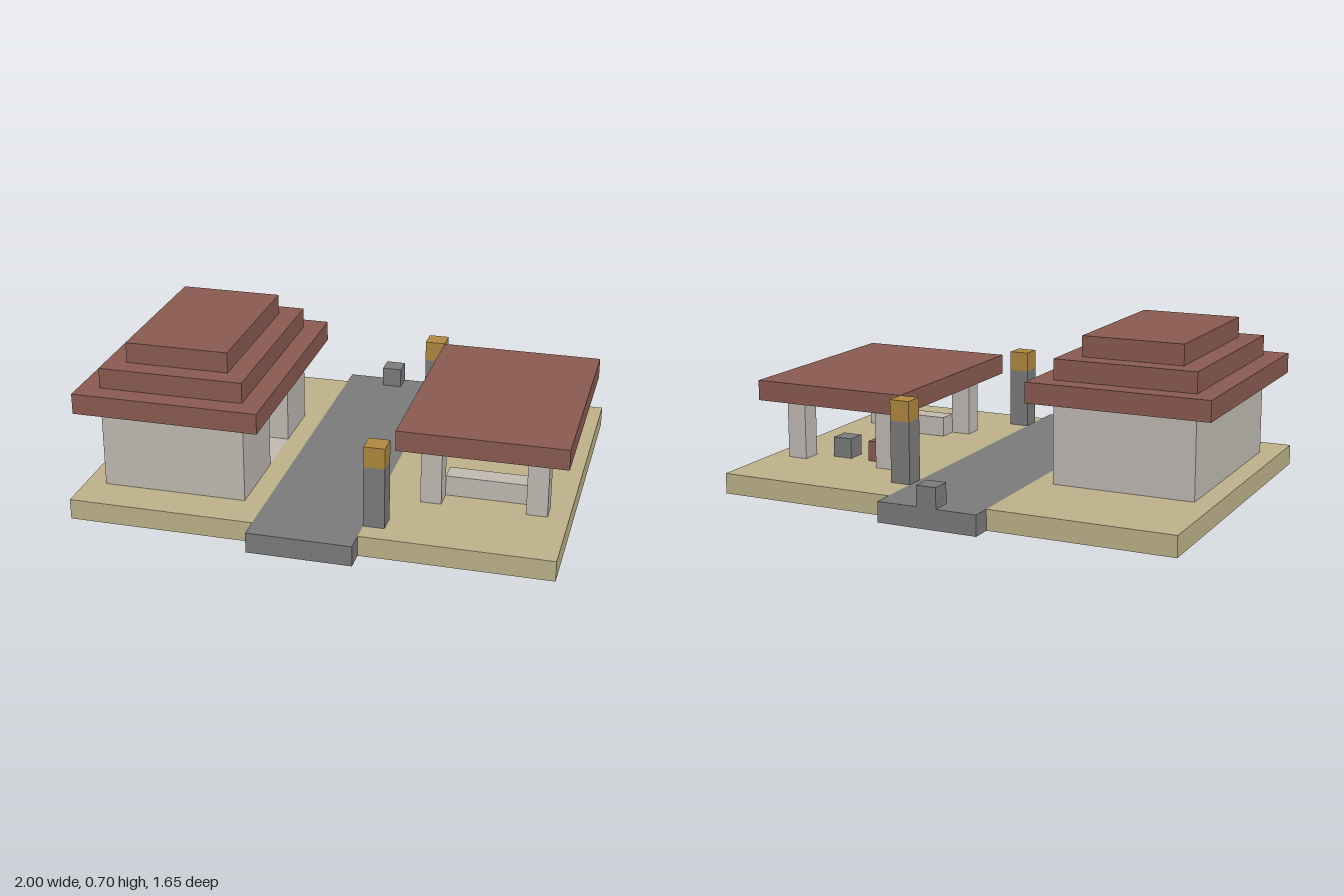
import * as THREE from 'three';

// All parts sit on a block grid, 23 blocks across two units.
const U = 2 / 23;

function material(name, color) {
  const m = new THREE.MeshStandardMaterial({ color });
  m.name = name;
  return m;
}

export function createModel() {
  const sand = material('sand', 0xbdb28a);
  const stone = material('stone grey', 0x7b7b7b);
  const plaster = material('pale plaster', 0xc0bab3);
  const red = material('roof red', 0x8a5a51);
  const gold = material('gold', 0xb08840);

  const model = new THREE.Group();
  model.name = 'courtyard';

  const group = (name) => {
    const g = new THREE.Group();
    g.name = name;
    model.add(g);
    return g;
  };

  // Box from opposite extents given in blocks.
  const block = (parent, name, mat, [x0, x1], [y0, y1], [z0, z1]) => {
    const geo = new THREE.BoxGeometry((x1 - x0) * U, (y1 - y0) * U, (z1 - z0) * U);
    const mesh = new THREE.Mesh(geo, mat);
    mesh.name = name;
    mesh.position.set((x0 + x1) / 2 * U, (y0 + y1) / 2 * U, (z0 + z1) / 2 * U);
    parent.add(mesh);
  };

  // Ground: a plain slab on the left, a frame around the house floor on the right
  const ground = group('ground');
  block(ground, 'leftGround', sand, [2.5, 11.5], [0, 1], [-8.5, 8.5]);
  block(ground, 'outerStrip', sand, [-11.5, -10.5], [0, 1], [-8.5, 8.5]);
  block(ground, 'innerStrip', sand, [-3.5, -2.5], [0, 1], [-8.5, 8.5]);
  block(ground, 'frontStrip', sand, [-10.5, -3.5], [0, 1], [6.5, 8.5]);
  block(ground, 'backStrip', sand, [-10.5, -3.5], [0, 1], [-8.5, -3.5]);

  // Road with a marker stone at its back end
  const road = group('road');
  block(road, 'roadSlab', stone, [-2.5, 2.5], [0, 1], [-9.5, 9.5]);
  block(road, 'markerStone', stone, [-0.5, 0.5], [1, 2], [-9.5, -8.5]);

  // Hollow house with a doorway towards the road
  const house = group('house');
  block(house, 'houseFloor', plaster, [-10.5, -3.5], [0, 1], [-3.5, 6.5]);
  block(house, 'outerWall', plaster, [-10.5, -9.5], [1, 5], [-3.5, 6.5]);
  block(house, 'frontWall', plaster, [-9.5, -4.5], [1, 5], [5.5, 6.5]);
  block(house, 'backWall', plaster, [-9.5, -4.5], [1, 5], [-3.5, -2.5]);
  block(house, 'doorWallFront', plaster, [-4.5, -3.5], [1, 5], [2.5, 6.5]);
  block(house, 'doorWallBack', plaster, [-4.5, -3.5], [1, 5], [-3.5, -0.5]);
  block(house, 'lintel', plaster, [-4.5, -3.5], [4, 5], [-0.5, 2.5]);

  // Furniture inside the house
  block(house, 'cabinet', red, [-9.5, -8.5], [1, 3], [0.5, 1.5]);
  block(house, 'stool', red, [-6.5, -5.5], [1, 2], [-2.5, -1.5]);

  // Stepped roof
  for (let i = 0; i < 3; i++) {
    block(house, 'roofStep', red, [-11.5 + i, -2.5 - i], [5 + i, 6 + i], [-4.5 + i, 7.5 - i]);
  }

  // Open pavilion on four legs
  const pavilion = group('pavilion');
  block(pavilion, 'pavilionRoof', red, [3.5, 11.5], [4, 5], [-5.5, 5.5]);
  for (const x of [4.5, 9.5]) {
    for (const z of [-4.5, 3.5]) {
      block(pavilion, 'pavilionLeg', plaster, [x, x + 1], [1, 4], [z, z + 1]);
    }
  }
  block(pavilion, 'bench', plaster, [5.5, 9.5], [1, 2], [2.5, 3.5]);
  block(pavilion, 'stoneBlock', stone, [7.5, 8.5], [1, 2], [-3.5, -2.5]);
  block(pavilion, 'crate', red, [5.5, 6.5], [1, 2], [-3.5, -2.5]);

  // Lantern pillars beside the road
  const pillars = group('lanternPillars');
  for (const z of [-6.5, 6.5]) {
    block(pillars, 'pillar', stone, [2.5, 3.5], [1, 4], [z, z + 1]);
    block(pillars, 'lantern', gold, [2.5, 3.5], [4, 5], [z, z + 1]);
  }

  return model;
}
